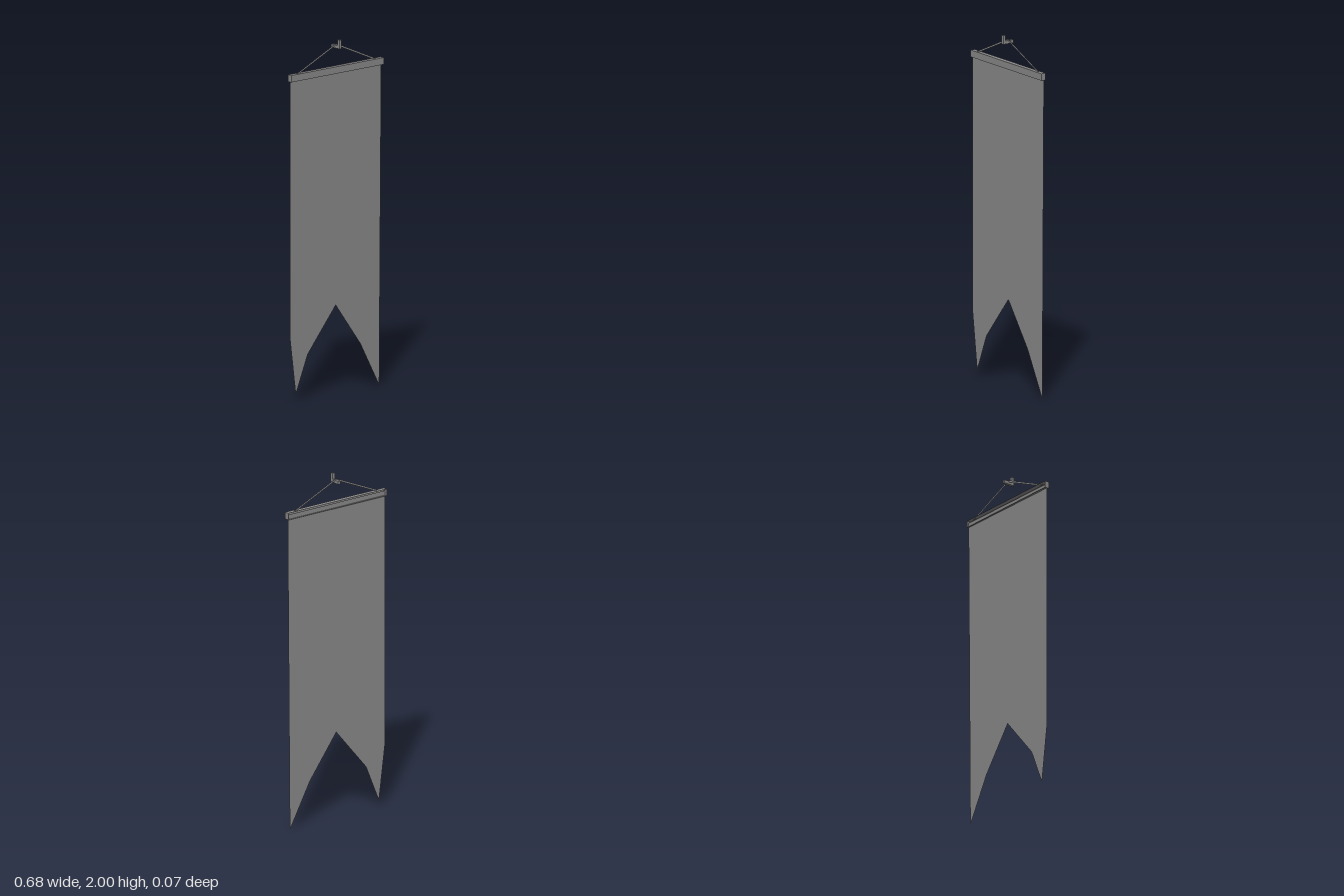
import * as THREE from 'three';

const material = new THREE.MeshStandardMaterial({ color: 0x888888, flatShading: true });
const thinMaterial = new THREE.MeshStandardMaterial({ color: 0x888888, flatShading: true, side: THREE.DoubleSide });

function box(name, size, position) {
  const mesh = new THREE.Mesh(new THREE.BoxGeometry(...size), material);
  mesh.name = name;
  mesh.position.set(...position);
  return mesh;
}

// Flat sheet cut from an outline and placed at depth z
function sheet(name, outline, z) {
  const shape = new THREE.Shape(outline.map(([x, y]) => new THREE.Vector2(x, y)));
  const mesh = new THREE.Mesh(new THREE.ShapeGeometry(shape), thinMaterial);
  mesh.name = name;
  mesh.position.z = z;
  return mesh;
}

export function createModel() {
  const group = new THREE.Group();
  group.name = 'hangingBanner';

  // Cloth with an uneven swallowtail hem, its top edge held inside the rod
  group.add(sheet('cloth', [
    [-0.338, 1.835], [-0.337, 0.36], [-0.295, 0.04], [-0.206, 0.255],
    [0, 0.5], [0.182, 0.255], [0.321, 0], [0.336, 1.835],
  ], -0.006));

  // Square rod, open along the back, turned very slightly about the vertical
  const rod = box('rod', [0.678, 0.039, 0.028], [0, 1.8275, -0.0035]);
  rod.geometry.setIndex([...rod.geometry.index.array].slice(0, 30));
  rod.geometry.clearGroups();
  rod.material = thinMaterial;
  rod.rotation.y = -0.0075;
  group.add(rod);

  // Flat cords from the rod ends up to the hook
  for (const [name, s] of [['leftCord', 1], ['rightCord', -1]]) {
    group.add(sheet(name, [
      [0, 1.976], [0, 1.965], [s * 0.283, 1.841], [s * 0.306, 1.841],
    ], -0.003));
  }

  // L-shaped wall hook: flat arm with an upturned tip at the front
  const hook = new THREE.Group();
  hook.name = 'hook';
  hook.add(box('hookArm', [0.016, 0.018, 0.068], [0, 1.959, 0]));
  hook.add(box('hookTip', [0.016, 0.032, 0.016], [0, 1.984, 0.026]));
  group.add(hook);

  return group;
}
